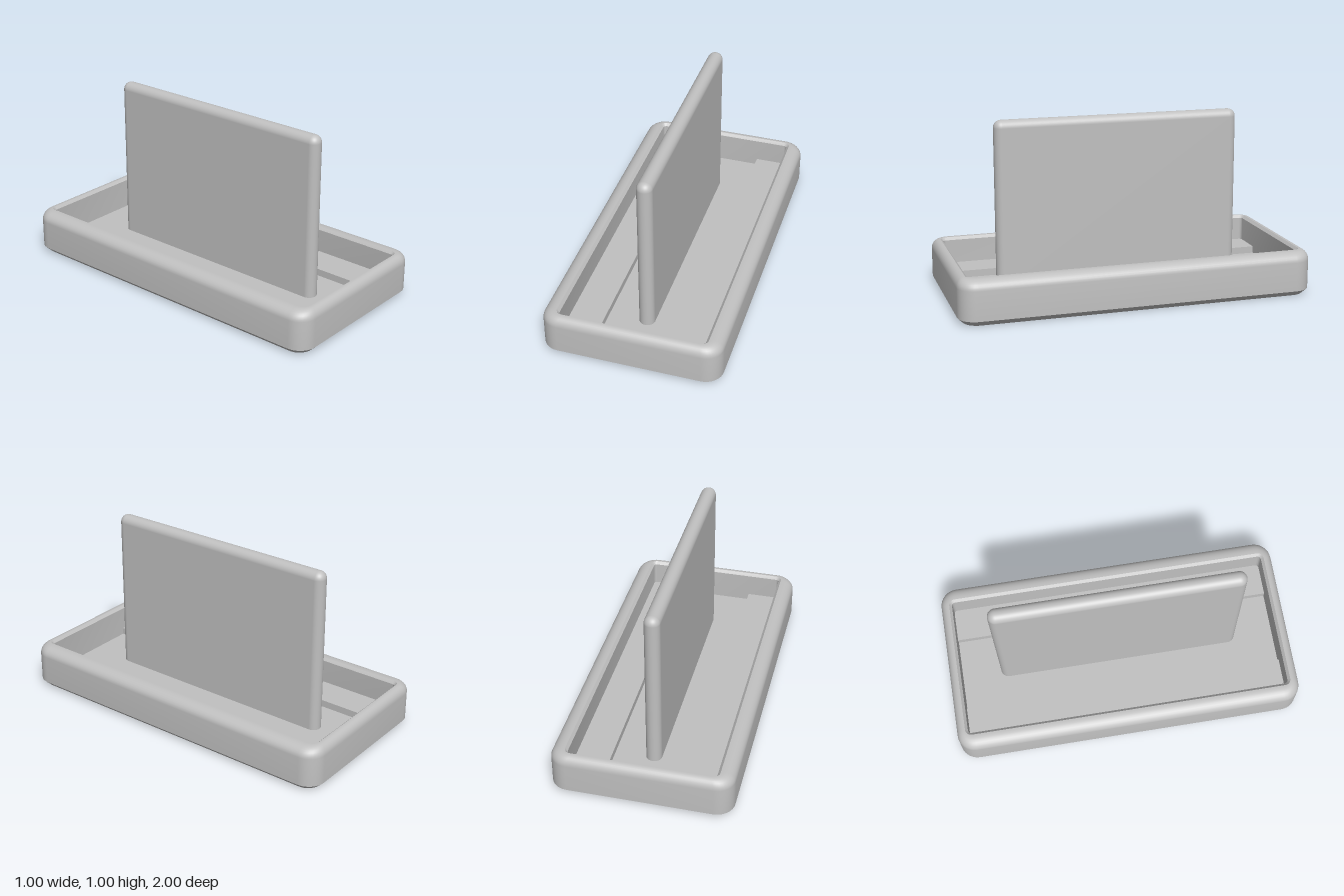
import * as THREE from 'three';
import { toCreasedNormals } from 'three/addons/utils/BufferGeometryUtils.js';
import { RoundedBoxGeometry } from 'three/addons/geometries/RoundedBoxGeometry.js';

const CORNER_STEPS = 8;

// Points [x, z] around a rounded rectangle
function roundedRect(hx, hz, r) {
  const pts = [];
  const centres = [[1, 1], [-1, 1], [-1, -1], [1, -1]];
  centres.forEach(([sx, sz], q) => {
    for (let i = 0; i <= CORNER_STEPS; i++) {
      const a = (q + i / CORNER_STEPS) * Math.PI / 2;
      pts.push([sx * (hx - r) + r * Math.cos(a), sz * (hz - r) + r * Math.sin(a)]);
    }
  });
  return pts;
}

// Skin through a stack of rounded-rectangle sections [hx, hz, r, y]
function skin(sections) {
  const pos = [], index = [];
  const n = 4 * (CORNER_STEPS + 1);
  sections.forEach(([hx, hz, r, y]) =>
    roundedRect(hx, hz, r).forEach(([x, z]) => pos.push(x, y, z)));
  for (let j = 0; j < sections.length - 1; j++) {
    for (let i = 0; i < n; i++) {
      const a = j * n + i, b = j * n + (i + 1) % n;
      index.push(a, a + n, b, b, a + n, b + n);
    }
  }
  const g = new THREE.BufferGeometry();
  g.setAttribute('position', new THREE.Float32BufferAttribute(pos, 3));
  g.setIndex(index);
  return toCreasedNormals(g, 0.5);
}

export function createModel() {
  const grey = new THREE.MeshStandardMaterial({ color: 0xc0c0c0 });
  grey.name = 'plain grey';
  const model = new THREE.Group();
  model.name = 'trayWithUprightPanel';

  const add = (name, geometry, x = 0, y = 0, z = 0) => {
    const mesh = new THREE.Mesh(geometry, grey);
    mesh.name = name;
    mesh.position.set(x, y, z);
    model.add(mesh);
    return mesh;
  };

  // Tray shell: bottom chamfer, outer wall, rounded rim, inner wall
  const sections = [[0.47, 0.97, 0.08, 0], [0.5, 1, 0.1, 0.03]];
  for (let i = 0; i <= 8; i++) {
    const a = i / 8 * Math.PI / 2, k = 1 - Math.cos(a);
    sections.push([0.5 - 0.07 * k, 1 - 0.045 * k, 0.1 - 0.045 * k, 0.195 + 0.055 * Math.sin(a)]);
  }
  sections.push([0.42, 0.95, 0.035, 0.25], [0.405, 0.935, 0.02, 0.235], [0.405, 0.935, 0.02, 0.06]);
  add('trayShell', skin(sections));

  // Channel floor
  add('channelFloor', new THREE.PlaneGeometry(0.81, 1.87).rotateX(-Math.PI / 2), 0, 0.06, 0);

  // Raised ledges along both long sides
  for (const s of [1, -1]) {
    add(s > 0 ? 'leftLedge' : 'rightLedge', new THREE.BoxGeometry(0.19, 0.045, 1.87), s * 0.31, 0.0775, 0);
  }

  // Underside with four shallow round recesses
  const under = new THREE.Shape(roundedRect(0.47, 0.97, 0.08).map(([x, z]) => new THREE.Vector2(x, z)));
  const recess = toCreasedNormals(new THREE.LatheGeometry([
    new THREE.Vector2(0, 0.015), new THREE.Vector2(0.087, 0.015), new THREE.Vector2(0.087, 0),
  ], 32), 0.5);
  for (const sx of [1, -1]) {
    for (const sz of [1, -1]) {
      const x = sx * 0.29, z = sz * 0.815;
      under.holes.push(new THREE.Path().absarc(x, z, 0.087, 0, Math.PI * 2, true));
      add('footRecess', recess, x, 0, z);
    }
  }
  add('underside', new THREE.ShapeGeometry(under, 16).rotateX(Math.PI / 2));

  // Upright panel with fully rounded edges
  add('uprightPanel', new RoundedBoxGeometry(0.088, 0.985, 1.41, 6, 0.0435), 0, 0.5075, 0);

  return model;
}
